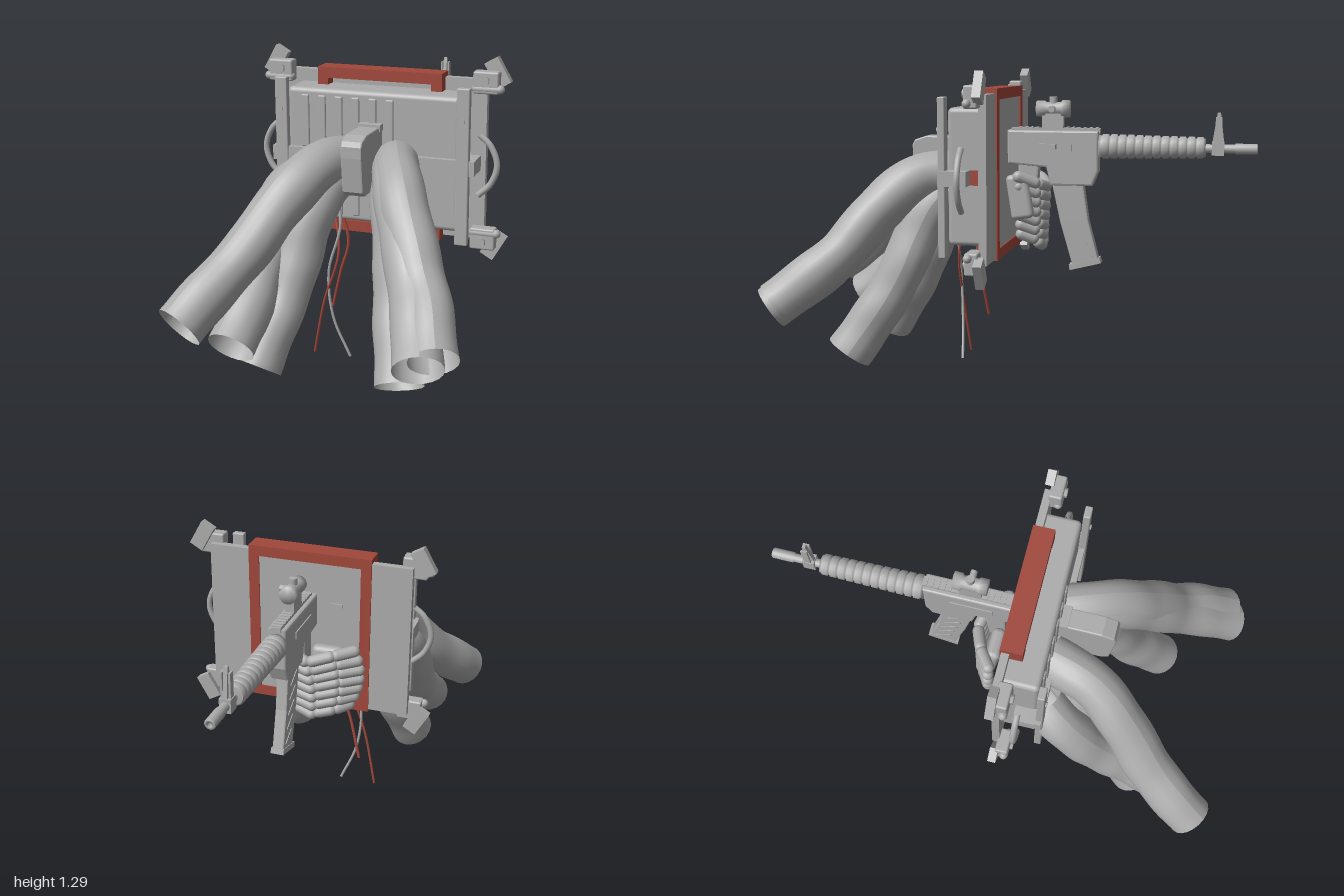
import * as THREE from 'three';
import { RoundedBoxGeometry } from 'three/addons/geometries/RoundedBoxGeometry.js';

const CX = 0.02; // the pack's middle line

export function createModel() {
  const root = new THREE.Group();
  const grey = new THREE.MeshStandardMaterial({ color: 0xacacac });
  grey.name = 'grey';
  const greyOpen = new THREE.MeshStandardMaterial({ color: 0xacacac, side: THREE.DoubleSide });
  greyOpen.name = 'grey open';
  const red = new THREE.MeshStandardMaterial({ color: 0xa0473a });
  red.name = 'red';

  const add = (name, geo, mat = grey) => {
    const m = new THREE.Mesh(geo, mat);
    m.name = name;
    root.add(m);
    return m;
  };
  // box given by its limits on each axis
  const box = (name, x0, x1, y0, y1, z0, z1, mat, r = 0) => {
    const s = [x1 - x0, y1 - y0, z1 - z0];
    const g = r ? new RoundedBoxGeometry(...s, 3, r) : new THREE.BoxGeometry(...s);
    const m = add(name, g, mat);
    m.position.set((x0 + x1) / 2, (y0 + y1) / 2, (z0 + z1) / 2);
    return m;
  };
  const curve = (pts) => new THREE.CatmullRomCurve3(pts.map((p) => new THREE.Vector3(...p)));
  const tube = (name, pts, r, mat) => add(name, new THREE.TubeGeometry(curve(pts), 24, r, 8), mat);
  // side profile of [z, y] points, extruded across x about the middle line
  const side = (name, pts, w, bevel = 0) => {
    const s = new THREE.Shape(pts.map(([z, y]) => new THREE.Vector2(-z, y)));
    const g = new THREE.ExtrudeGeometry(s, { depth: w - 2 * bevel, bevelEnabled: bevel > 0,
      bevelSize: bevel, bevelThickness: bevel, bevelOffset: -bevel, bevelSegments: 2 });
    g.translate(0, 0, bevel - w / 2).rotateY(Math.PI / 2);
    const m = add(name, g);
    m.position.x = CX;
    return m;
  };
  // turned part along -z from [z, radius] points
  const turned = (name, pts, y) => {
    const g = new THREE.LatheGeometry(pts.map(([z, r]) => new THREE.Vector2(r, -z)), 18).rotateX(-Math.PI / 2);
    add(name, g, greyOpen).position.set(CX, y, 0);
  };

  // Pack: back plate, red frame, main case
  box('backPlate', -0.42, 0.46, 0.53, 1.2, 0.036, 0.068);
  const ring = new THREE.Shape();
  ring.moveTo(-0.25, 0.52).lineTo(0.285, 0.52).lineTo(0.285, 1.22).lineTo(-0.25, 1.22).closePath();
  const hole = new THREE.Path();
  hole.moveTo(-0.205, 0.565).lineTo(-0.205, 1.175).lineTo(0.24, 1.175).lineTo(0.24, 0.565).closePath();
  ring.holes.push(hole);
  add('redFrame', new THREE.ExtrudeGeometry(ring, { depth: 0.09, bevelEnabled: false }), red).position.z = 0.03;
  box('mainCase', -0.35, 0.388, 0.595, 1.147, 0.05, 0.21, grey, 0.02);
  box('sideLabel', 0.386, 0.392, 0.84, 0.9, 0.06, 0.12, red);
  box('frontStrap', -0.41, 0.455, 0.84, 0.9, 0.205, 0.235);
  box('backLatch', -0.13, -0.08, 0.99, 1.005, 0.028, 0.037);

  // Raised ribs on the case front
  for (let i = 0; i < 6; i++) {
    const x = -0.27 + i * 0.073;
    box('upperRib', x - 0.017, x + 0.017, 0.9, 1.12, 0.2, 0.217, grey, 0.006);
    box('lowerRib', x - 0.015, x + 0.015, 0.62, 0.82, 0.2, 0.217, grey, 0.006);
  }

  // Rails, straps, handles and corner clamps, mirrored
  for (const s of [-1, 1]) {
    const X = (d) => CX + s * d;
    const mbox = (name, d0, d1, ...rest) => box(name, Math.min(X(d0), X(d1)), Math.max(X(d0), X(d1)), ...rest);
    mbox('frontRail', 0.36, 0.413, 0.55, 1.19, 0.21, 0.24, grey, 0.005);
    mbox('sideStrap', 0.36, 0.433, 0.84, 0.9, 0.12, 0.21);
    const bolt = add('railBolt', new THREE.CylinderGeometry(0.011, 0.011, 0.012, 6).rotateX(Math.PI / 2));
    bolt.position.set(X(0.387), 1.06, 0.241);
    tube('sideHandle', [[X(0.43), 0.99, 0.14], [X(0.475), 0.95, 0.14], [X(0.505), 0.87, 0.14],
      [X(0.48), 0.79, 0.14], [X(0.43), 0.74, 0.14]], 0.013);
    for (const t of [-1, 1]) {
      const Y = (d) => 0.868 + t * d;
      const hook = add('cornerHook', new THREE.BoxGeometry(0.062, 0.115, 0.035));
      hook.position.set(X(0.48), Y(0.36), 0.055);
      hook.rotation.z = s * t * 0.52;
      const y0 = Math.min(Y(0.28), Y(0.37));
      mbox('cornerClamp', 0.39, 0.495, y0, y0 + 0.09, 0.06, 0.115, grey, 0.008);
      const bar = add('clampBar', new THREE.CapsuleGeometry(0.018, 0.1, 4, 10).rotateZ(Math.PI / 2));
      bar.position.set(X(0.45), Y(0.3), 0.1);
      const knob = add('clampKnob', new THREE.CylinderGeometry(0.02, 0.02, 0.02, 6).rotateX(Math.PI / 2));
      knob.position.set(X(0.44), Y(0.335), 0.118);
    }
  }

  // Hooked bracket on the front
  side('frontBracket', [[0.2, 1.012], [0.39, 1.012], [0.44, 0.995], [0.45, 0.975], [0.45, 0.93],
    [0.435, 0.79], [0.41, 0.77], [0.2, 0.77]], 0.088, 0.006);
  box('bracketLip', -0.028, 0.068, 0.995, 1.022, 0.2, 0.25);

  // Wide wavy hoses with open ends
  const hose = (name, pts, r, phase) => {
    const c = curve(pts), segs = 44, sides = 20;
    const g = new THREE.TubeGeometry(c, segs, r, sides);
    const p = g.attributes.position, v = new THREE.Vector3();
    for (let i = 0; i <= segs; i++) {
      const mid = c.getPointAt(i / segs);
      for (let j = 0; j <= sides; j++) {
        const k = i * (sides + 1) + j, a = (j / sides) * Math.PI * 2;
        const f = 1 + 0.025 * Math.sin(i * 0.55 + phase + Math.sin(a)) + 0.02 * Math.sin(2 * a + i * 0.2 + phase);
        v.fromBufferAttribute(p, k).sub(mid).multiplyScalar(f).add(mid);
        p.setXYZ(k, v.x, v.y, v.z);
      }
    }
    g.computeVertexNormals();
    add(name, g, greyOpen);
  };
  hose('rightUpperHose', [[-0.11, 0.86, 0.2], [-0.165, 0.85, 0.38], [-0.26, 0.72, 0.55],
    [-0.34, 0.575, 0.665], [-0.415, 0.47, 0.78], [-0.492, 0.35, 0.935]], 0.099, 0);
  hose('rightMiddleHose', [[-0.28, 0.77, 0.22], [-0.33, 0.72, 0.31], [-0.34, 0.6, 0.41],
    [-0.335, 0.47, 0.52], [-0.33, 0.36, 0.64], [-0.345, 0.235, 0.81]], 0.094, 1);
  hose('rightLowerHose', [[-0.1, 0.82, 0.2], [-0.15, 0.75, 0.32], [-0.19, 0.62, 0.4],
    [-0.22, 0.47, 0.455], [-0.25, 0.32, 0.53], [-0.3, 0.1, 0.67]], 0.097, 2);
  hose('leftUpperHose', [[0.12, 0.86, 0.2], [0.19, 0.85, 0.38], [0.29, 0.71, 0.55],
    [0.37, 0.56, 0.66], [0.44, 0.46, 0.77], [0.5, 0.35, 0.91]], 0.095, 0.6);
  hose('leftMiddleHose', [[0.115, 0.855, 0.2], [0.175, 0.84, 0.37], [0.265, 0.695, 0.545],
    [0.34, 0.54, 0.675], [0.4, 0.43, 0.8], [0.455, 0.325, 0.945]], 0.093, 1.7);
  hose('leftLowerHose', [[0.1, 0.82, 0.2], [0.15, 0.75, 0.32], [0.19, 0.6, 0.4],
    [0.215, 0.46, 0.455], [0.24, 0.32, 0.53], [0.295, 0.11, 0.67]], 0.097, 2.6);

  // Loose cables
  tube('shortRedCable', [[-0.12, 0.64, 0.2], [-0.09, 0.5, 0.2], [-0.13, 0.36, 0.19], [-0.175, 0.19, 0.17]], 0.007, red);
  tube('longRedCable', [[-0.13, 0.66, 0.25], [-0.1, 0.48, 0.288], [-0.17, 0.25, 0.285], [-0.225, 0.005, 0.265]], 0.006, red);
  tube('greyCable', [[-0.115, 0.78, 0.27], [-0.09, 0.6, 0.29], [-0.145, 0.39, 0.29],
    [-0.13, 0.18, 0.28], [-0.062, 0.007, 0.265]], 0.006);

  // Rifle: receiver, magazine
  side('receiver', [[0.035, 1.04], [-0.35, 1.04], [-0.35, 0.87], [-0.325, 0.81], [-0.15, 0.81],
    [-0.13, 0.885], [0.035, 0.9]], 0.078, 0.008);
  side('topRail', [[0.02, 1.05], [-0.355, 1.05], [-0.355, 1.03], [0.02, 1.03]], 0.04);
  for (let i = 0; i < 14; i++) box('railTooth', 0, 0.04, 1.045, 1.054, -0.022 - i * 0.025, -0.01 - i * 0.025);
  for (const x of [CX - 0.04, CX + 0.04]) box('sidePanel', x - 0.004, x + 0.004, 0.955, 0.985, -0.24, -0.06);
  box('chargingKnob', 0.05, 0.1, 0.965, 0.985, -0.175, -0.15);
  side('grip', [[-0.01, 0.91], [-0.1, 0.9], [-0.08, 0.7], [-0.01, 0.7]], 0.055, 0.008);
  side('magazine', [[-0.15, 0.83], [-0.285, 0.83], [-0.31, 0.66], [-0.355, 0.49], [-0.245, 0.46], [-0.19, 0.65]], 0.05, 0.006);
  side('magazineFoot', [[-0.228, 0.472], [-0.232, 0.448], [-0.365, 0.482], [-0.358, 0.505]], 0.056);
  for (let i = 0; i < 5; i++) {
    const y = 0.77 - i * 0.06, z = -0.225 - i * 0.017;
    const rib = box('magazineRib', CX - 0.028, CX + 0.028, y - 0.006, y + 0.006, z - 0.04, z + 0.04);
    rib.rotation.x = -0.5;
  }

  // Ringed handguard, barrel and muzzle
  const rings = [[-0.35, 0], [-0.35, 0.048]];
  for (let i = 0; i < 12; i++) {
    const z = -0.362 - i * 0.0355, r = 0.052 - i * 0.0007;
    rings.push([z, r - 0.007], [z - 0.004, r], [z - 0.027, r], [z - 0.031, r - 0.007]);
  }
  rings.push([-0.79, 0.038], [-0.79, 0]);
  turned('handguard', rings, 0.975);
  turned('barrel', [[-0.78, 0.018], [-0.91, 0.018], [-0.91, 0.022], [-0.995, 0.022], [-1, 0.018], [-1, 0.01], [-0.95, 0.01]], 0.972);
  box('sightBase', -0.003, 0.043, 0.945, 1.0, -0.865, -0.815);
  side('frontSight', [[-0.815, 0.99], [-0.865, 0.99], [-0.848, 1.12], [-0.835, 1.12]], 0.016);
  for (const s of [-1, 1]) box('sightEar', CX + s * 0.016 - 0.004, CX + s * 0.016 + 0.004, 1.0, 1.1, -0.855, -0.828);

  // Scope on its mount
  turned('scope', [[-0.085, 0], [-0.085, 0.034], [-0.12, 0.034], [-0.126, 0.028], [-0.187, 0.028],
    [-0.193, 0.036], [-0.225, 0.036], [-0.225, 0]], 1.13);
  box('scopeMount', 0, 0.04, 1.05, 1.11, -0.2, -0.11);
  const turret = add('scopeTurret', new THREE.CylinderGeometry(0.017, 0.017, 0.05, 12));
  turret.position.set(CX, 1.155, -0.155);
  const dial = add('scopeDial', new THREE.CylinderGeometry(0.014, 0.014, 0.05, 12).rotateZ(Math.PI / 2));
  dial.position.set(CX + 0.03, 1.13, -0.155);

  // Palms and long drooping fingers wrapped around the grip
  box('leftPalm', 0.075, 0.125, 0.67, 0.86, -0.075, 0.02, grey, 0.02).rotation.x = 0.15;
  box('rightPalm', -0.16, -0.02, 0.62, 0.84, -0.07, -0.01, grey, 0.025).rotation.x = 0.15;
  for (let i = 0; i < 7; i++) {
    const y = 0.855 - i * 0.042, w = i / 6, reach = 0.15 + 0.09 * Math.sin(0.8 + w * 1.8);
    const c = curve([[0.12 - 0.07 * w, y, -0.01], [0.085 - 0.06 * w, y - 0.03, -0.08],
      [-0.02, y - 0.055, -0.115 + 0.02 * w], [-0.12, y - 0.035, -0.085], [-reach, y - 0.02, -0.025]]);
    const len = c.getLength() / 4;
    for (let k = 0; k < 4; k++) {
      const t = (k + 0.5) / 4;
      const joint = add('fingerJoint', new THREE.CapsuleGeometry(0.025, len - 0.03, 5, 12).rotateX(Math.PI / 2));
      joint.position.copy(c.getPointAt(t));
      joint.lookAt(joint.position.clone().add(c.getTangentAt(t)));
    }
  }
  return root;
}
